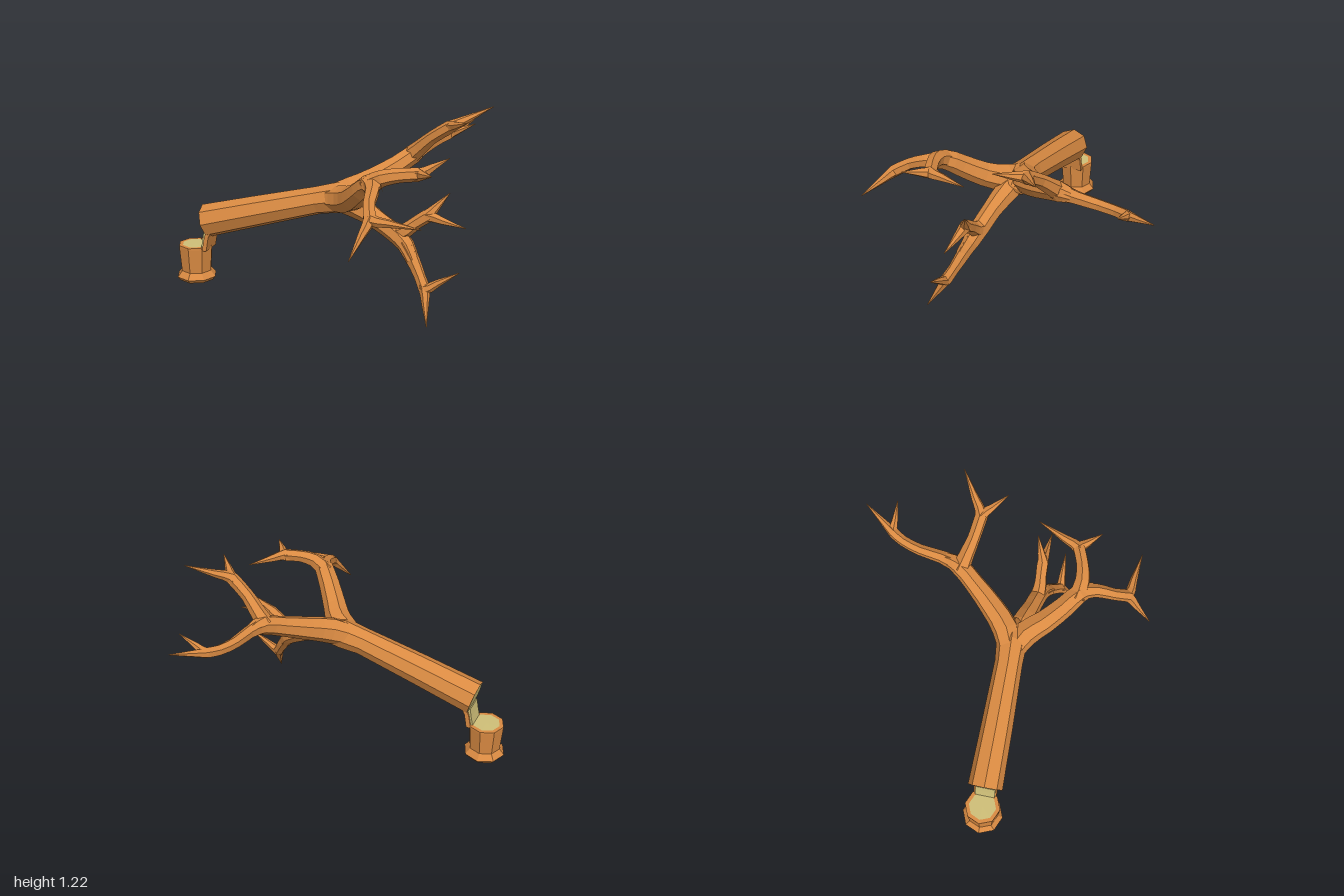
import * as THREE from 'three';

const bark = new THREE.MeshStandardMaterial({ color: 0xd98a42, flatShading: true });
const wood = new THREE.MeshStandardMaterial({ color: 0xcfbf78, flatShading: true });

// Skins a list of [x, y, z, radius] sections with a polygonal tube; steps > 1 rounds the path.
function loft(name, sections, sides, steps = 1, material = bark) {
  const pts = sections.map(s => new THREE.Vector3(s[0], s[1], s[2]));
  const curve = new THREE.CatmullRomCurve3(pts, false, 'centripetal');
  const n = (pts.length - 1) * steps;
  const centres = [], radii = [];
  for (let i = 0; i <= n; i++) {
    const k = Math.min(Math.floor(i / steps), pts.length - 2), f = i / steps - k;
    centres.push(steps === 1 ? pts[i] : curve.getPoint(i / n));
    radii.push(THREE.MathUtils.lerp(sections[k][3], sections[k + 1][3], f));
  }
  const pos = [], index = [];
  let u = null;
  centres.forEach((c, i) => {
    const t = centres[Math.min(i + 1, n)].clone().sub(centres[Math.max(i - 1, 0)]).normalize();
    if (!u) u = Math.abs(t.y) > 0.9 ? new THREE.Vector3(1, 0, 0) : new THREE.Vector3(0, 1, 0);
    u = u.clone().addScaledVector(t, -u.dot(t)).normalize();
    const v = t.clone().cross(u);
    for (let j = 0; j < sides; j++) {
      const a = (j / sides) * Math.PI * 2;
      const p = c.clone().addScaledVector(u, Math.cos(a) * radii[i]).addScaledVector(v, Math.sin(a) * radii[i]);
      pos.push(p.x, p.y, p.z);
      if (i < n) {
        const a0 = i * sides + j, b0 = i * sides + (j + 1) % sides;
        index.push(a0, b0, b0 + sides, a0, b0 + sides, a0 + sides);
      }
    }
  });
  const geo = new THREE.BufferGeometry();
  geo.setAttribute('position', new THREE.Float32BufferAttribute(pos, 3));
  geo.setIndex(index);
  geo.computeVertexNormals();
  const mesh = new THREE.Mesh(geo, material);
  mesh.name = name;
  return mesh;
}

// Flat outline in x/y given thickness along z, centred on the trunk.
function slab(name, outline, depth, material) {
  const shape = new THREE.Shape(outline.map(p => new THREE.Vector2(p[0], p[1])));
  const geo = new THREE.ExtrudeGeometry(shape, { depth, bevelEnabled: false });
  const mesh = new THREE.Mesh(geo.translate(0, 0, 0.13 - depth / 2), material);
  mesh.name = name;
  return mesh;
}

// A stem that splits into two pointed twigs at its last section.
function forkedBranch(name, stem, tips) {
  const group = new THREE.Group();
  group.name = name;
  const end = stem[stem.length - 1], before = stem[stem.length - 2];
  group.add(loft(name + 'Stem', [...stem], 6, 2));
  tips.forEach((tip, i) => {
    // Each twig starts inside the stem and bends towards its tip.
    const start = end.map((e, k) => e + (before[k] - e) * 0.35);
    const mid = [0, 1, 2].map(k => end[k] + (tip[k] - end[k]) * 0.38);
    group.add(loft(name + 'Twig' + (i + 1),
      [[start[0], start[1], start[2], end[3] * 0.9], [end[0], end[1], end[2], end[3] * 0.95],
        [...mid, end[3] * 0.6], [...tip, 0.002]], 6, 2));
  });
  return group;
}

export function createModel() {
  const tree = new THREE.Group();
  tree.name = 'fallenTree';

  // Stump with a flared foot and a pale cut top
  const sx = -0.865, sz = 0.13;
  const ring = (y, r) => [sx, y, sz, r];
  tree.add(loft('stump', [ring(0, 0), ring(0.005, 0.115), ring(0.03, 0.135), ring(0.07, 0.103),
    ring(0.235, 0.116), ring(0.25, 0.116), ring(0.251, 0.09)], 8));
  tree.add(loft('stumpCut', [ring(0.25, 0.092), ring(0.251, 0)], 8, 1, wood));

  // Strip of wood still joining stump and trunk
  tree.add(slab('hingeBark', [[-0.785, 0.23], [-0.755, 0.23], [-0.738, 0.325], [-0.72, 0.36], [-0.755, 0.36], [-0.77, 0.31]], 0.15, bark));
  tree.add(slab('hingeWood', [[-0.797, 0.24], [-0.783, 0.24], [-0.768, 0.31], [-0.753, 0.36], [-0.772, 0.37], [-0.782, 0.31]], 0.13, wood));

  // Trunk with its broken end
  tree.add(loft('trunk', [[-0.776, 0.422, 0.13, 0.112], [-0.4, 0.53, 0.128, 0.102], [0, 0.642, 0.122, 0.09],
    [0.14, 0.672, 0.115, 0.1], [0.23, 0.675, 0.11, 0.085], [0.29, 0.675, 0.11, 0.03], [0.3, 0.675, 0.11, 0]], 8));
  tree.add(loft('trunkBreak', [[-0.778, 0.4215, 0.13, 0], [-0.776, 0.422, 0.13, 0.112]], 8, 1, wood));

  // Main limbs
  const limbs = {
    backLimb: [[0.06, 0.665, 0.12, 0.075], [0.2, 0.71, 0.06, 0.088], [0.31, 0.76, -0.05, 0.078],
      [0.42, 0.825, -0.19, 0.066], [0.5, 0.88, -0.31, 0.062], [0.525, 0.885, -0.4, 0.042]],
    frontLimb: [[0.06, 0.66, 0.12, 0.075], [0.2, 0.69, 0.19, 0.088], [0.29, 0.74, 0.3, 0.078],
      [0.385, 0.83, 0.41, 0.07], [0.46, 0.895, 0.485, 0.063], [0.51, 0.875, 0.56, 0.045]],
    lowerLimb: [[0.1, 0.665, 0.12, 0.07], [0.28, 0.635, 0.15, 0.076], [0.42, 0.575, 0.185, 0.062],
      [0.54, 0.51, 0.21, 0.06], [0.615, 0.45, 0.235, 0.054], [0.67, 0.37, 0.275, 0.042]],
  };
  for (const [name, path] of Object.entries(limbs)) tree.add(loft(name, path, 7, 2));

  // Forked branches at the ends of the limbs
  tree.add(forkedBranch('backOuterBranch',
    [[0.5, 0.88, -0.31, 0.055], [0.53, 0.885, -0.43, 0.042], [0.55, 0.885, -0.57, 0.037], [0.585, 0.895, -0.69, 0.035], [0.625, 0.91, -0.765, 0.036]],
    [[0.755, 0.98, -0.965], [0.805, 1.0, -0.77]]));
  tree.add(forkedBranch('backUpperBranch',
    [[0.48, 0.87, -0.29, 0.06], [0.555, 0.94, -0.265, 0.05], [0.64, 1.02, -0.235, 0.042], [0.76, 1.105, -0.21, 0.042]],
    [[0.998, 1.218, -0.37], [0.9, 1.17, -0.065]]));
  tree.add(forkedBranch('frontInnerBranch',
    [[0.43, 0.88, 0.47, 0.06], [0.53, 0.94, 0.485, 0.05], [0.63, 0.96, 0.465, 0.042], [0.73, 0.965, 0.425, 0.042]],
    [[0.845, 1.0, 0.145], [0.84, 0.998, 0.555]]));
  tree.add(forkedBranch('frontOuterBranch',
    [[0.46, 0.9, 0.48, 0.055], [0.5, 0.885, 0.58, 0.044], [0.515, 0.845, 0.69, 0.038], [0.55, 0.785, 0.79, 0.04]],
    [[0.485, 0.59, 0.965], [0.86, 0.775, 0.835]]));
  tree.add(forkedBranch('lowerUpperBranch',
    [[0.54, 0.51, 0.21, 0.055], [0.61, 0.545, 0.215, 0.046], [0.66, 0.59, 0.21, 0.04], [0.735, 0.645, 0.205, 0.042]],
    [[0.855, 0.785, 0.145], [0.978, 0.598, 0.225]]));
  tree.add(forkedBranch('lowerDroopingBranch',
    [[0.6, 0.465, 0.23, 0.052], [0.67, 0.375, 0.27, 0.043], [0.725, 0.29, 0.31, 0.036], [0.765, 0.225, 0.345, 0.038]],
    [[0.972, 0.355, 0.335], [0.812, 0.03, 0.46]]));

  return tree;
}
